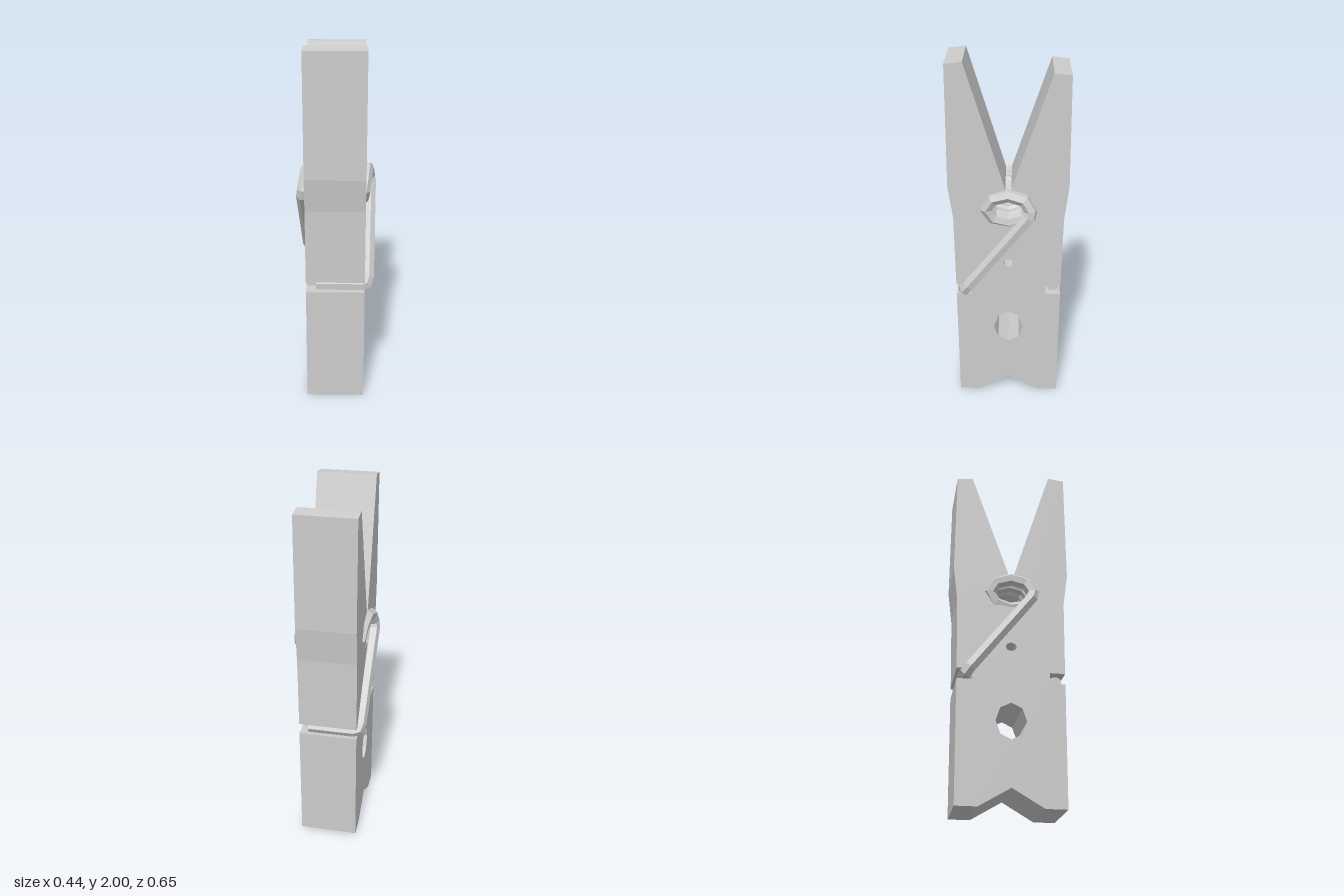
import * as THREE from 'three';

const grey = new THREE.MeshStandardMaterial({ color: 0xcccccc, flatShading: true });
grey.name = 'plain grey';

const COIL_Y = 1.2;

// Curve that steps exactly through its corner points
class Polyline extends THREE.Curve {
  constructor(points) {
    super();
    this.points = points;
  }
  index(u) {
    return Math.round(u * (this.points.length - 1));
  }
  getPointAt(u) {
    return this.points[this.index(u)].clone();
  }
  getTangentAt(u) {
    const i = this.index(u), p = this.points;
    const before = p[Math.max(i - 1, 0)], here = p[i], after = p[Math.min(i + 1, p.length - 1)];
    return here.clone().sub(before).normalize().add(after.clone().sub(here).normalize()).normalize();
  }
}

// Regular polygon hole in the side profile
function polygonHole(y, rz, ry, sides) {
  const points = [];
  for (let i = 0; i < sides; i++) {
    const a = (i / sides) * Math.PI * 2;
    points.push(new THREE.Vector2(rz * Math.cos(a), y + ry * Math.sin(a)));
  }
  return new THREE.Path(points);
}

// Both wooden jaws: one side profile (z, y) extruded across x
function makeJaws() {
  const front = [
    [0, 0.1], [0.17, 0], [0.287, 0], [0.293, 0.67], [0.21, 0.67], [0.21, 0.73], [0.293, 0.73],
    [0.298, 1.15], [0.323, 1.33], [0.32, 1.99], [0.228, 2.0], [0.018, 1.32],
  ];
  const back = [
    [-0.016, 1.32], [-0.228, 1.945], [-0.318, 1.935], [-0.323, 1.33], [-0.3, 1.14], [-0.292, 0.73],
    [-0.21, 0.73], [-0.21, 0.67], [-0.292, 0.67], [-0.287, 0], [-0.17, 0],
  ];
  // Seat of the spring coil, open to the V between the handles
  const seat = [];
  for (let i = 0; i <= 16; i++) {
    const a = THREE.MathUtils.degToRad(83 - (i / 16) * 346);
    seat.push([0.13 * Math.cos(a), COIL_Y + 0.09 * Math.sin(a)]);
  }
  const shape = new THREE.Shape([...front, ...seat, ...back].map(([z, y]) => new THREE.Vector2(z, y)));
  shape.holes.push(polygonHole(0.45, 0.083, 0.1, 8), polygonHole(0.87, 0.03, 0.025, 8));
  const geometry = new THREE.ExtrudeGeometry(shape, { depth: 0.322, bevelEnabled: false });
  geometry.rotateY(-Math.PI / 2).translate(0.157, 0, 0);
  const mesh = new THREE.Mesh(geometry, grey);
  mesh.name = 'jaws';
  return mesh;
}

// Wire spring: flattened coil, with an arm and a crossbar at each end
function makeSpring() {
  const turns = 5.5, perTurn = 8, steps = turns * perTurn, halfLength = 0.18;
  const coil = [];
  for (let i = 0; i <= steps; i++) {
    const a = (i / perTurn) * Math.PI * 2;
    const x = -halfLength + (2 * halfLength * i) / steps;
    coil.push(new THREE.Vector3(x, COIL_Y + 0.084 * Math.sin(a), 0.12 * Math.cos(a)));
  }
  const arm = [
    [0.185, 1.165, -0.112], [0.173, 0.735, 0.222], [0.165, 0.705, 0.243],
    [0.14, 0.7, 0.25], [-0.11, 0.7, 0.25],
  ].map((p) => new THREE.Vector3(...p));
  // The opposite arm is the same one turned half round the upright axis
  const otherArm = arm.map((p) => new THREE.Vector3(-p.x, p.y, -p.z)).reverse();
  const points = [...otherArm, ...coil, ...arm];

  const sides = 6, rings = points.length - 1;
  const geometry = new THREE.TubeGeometry(new Polyline(points), rings, 0.036, sides, false);
  // Close the cut ends of the wire
  const index = Array.from(geometry.index.array);
  const last = rings * (sides + 1);
  for (let i = 1; i < sides - 1; i++) {
    index.push(0, i, i + 1, last, last + i + 1, last + i);
  }
  geometry.setIndex(index);
  const mesh = new THREE.Mesh(geometry, grey);
  mesh.name = 'spring';
  return mesh;
}

export function createModel() {
  const group = new THREE.Group();
  group.name = 'clothespin';
  group.add(makeJaws(), makeSpring());
  return group;
}
